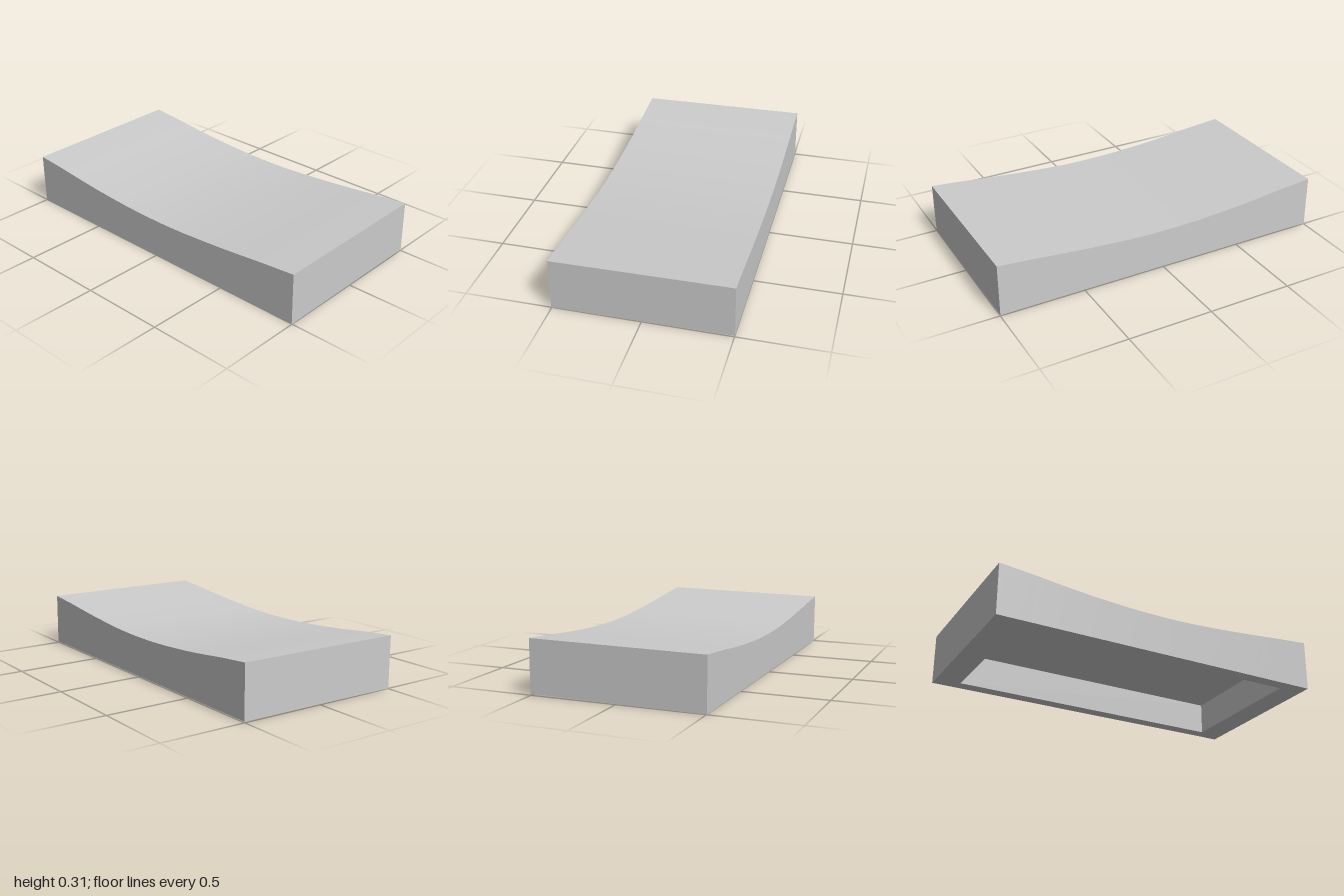
import * as THREE from 'three';
import { toCreasedNormals } from 'three/addons/utils/BufferGeometryUtils.js';

const HALF_LENGTH = 1, HALF_WIDTH = 0.503;
const INNER_LENGTH = 0.85, INNER_WIDTH = 0.428, CEILING = 0.192;
const TILT = 0.0072;

// Height of the dished top along the length
const TOP = [
  [-1, 0.303], [-0.8, 0.285], [-0.6, 0.263], [-0.4, 0.246], [-0.15, 0.233],
  [0.13, 0.233], [0.4, 0.249], [0.6, 0.266], [0.8, 0.286], [1, 0.303],
];

// Mesh from quads whose corners run counter-clockwise seen from outside
function quadMesh(name, quads, material) {
  const points = quads.flatMap(([a, b, c, d]) => [a, b, c, a, c, d]);
  const geometry = new THREE.BufferGeometry();
  geometry.setAttribute('position', new THREE.Float32BufferAttribute(points.flat(), 3));
  const mesh = new THREE.Mesh(toCreasedNormals(geometry, Math.PI / 6), material);
  mesh.name = name;
  return mesh;
}

// Four corners of a level rectangle, counter-clockwise seen from below
const corners = (x, y, z) => [[-x, y, -z], [x, y, -z], [x, y, z], [-x, y, z]];

// Quads joining two matching loops of corners
const ring = (a, b) => a.map((p, i) => {
  const j = (i + 1) % a.length;
  return [p, a[j], b[j], b[i]];
});

export function createModel() {
  const group = new THREE.Group();
  group.name = 'dishedBlock';
  const material = new THREE.MeshStandardMaterial({ color: 0xcccccc });
  const body = new THREE.Group();
  body.name = 'block';

  // Curved top and the long sides that follow its edge
  const curve = new THREE.SplineCurve(TOP.map(([x, y]) => new THREE.Vector2(x, y)));
  const profile = curve.getPoints(27);
  const top = [], sides = [], w = HALF_WIDTH;
  for (let i = 0; i < profile.length - 1; i++) {
    const { x: x0, y: y0 } = profile[i], { x: x1, y: y1 } = profile[i + 1];
    top.push([[x0, y0, w], [x1, y1, w], [x1, y1, -w], [x0, y0, -w]]);
    sides.push([[x0, 0, w], [x1, 0, w], [x1, y1, w], [x0, y0, w]]);
    sides.push([[x1, 0, -w], [x0, 0, -w], [x0, y0, -w], [x1, y1, -w]]);
  }

  // Flat ends
  for (const s of [-1, 1]) {
    const x = s * HALF_LENGTH, y = TOP[0][1], z = s * w;
    sides.push([[x, 0, z], [x, 0, -z], [x, y, -z], [x, y, z]]);
  }

  // Underside rim and the rectangular recess within it
  const outer = corners(HALF_LENGTH, 0, w);
  const mouth = corners(INNER_LENGTH, 0, INNER_WIDTH);
  const ceiling = corners(INNER_LENGTH, CEILING, INNER_WIDTH);

  body.add(
    quadMesh('dishedTop', top, material),
    quadMesh('outerWalls', sides, material),
    quadMesh('bottomRim', ring(outer, mouth), material),
    quadMesh('recessWalls', ring(mouth, ceiling), material),
    quadMesh('recessCeiling', [ceiling], material),
  );

  // The block leans very slightly, resting on its front edge
  body.rotation.x = TILT;
  body.position.y = HALF_WIDTH * Math.sin(TILT);
  group.add(body);
  return group;
}
